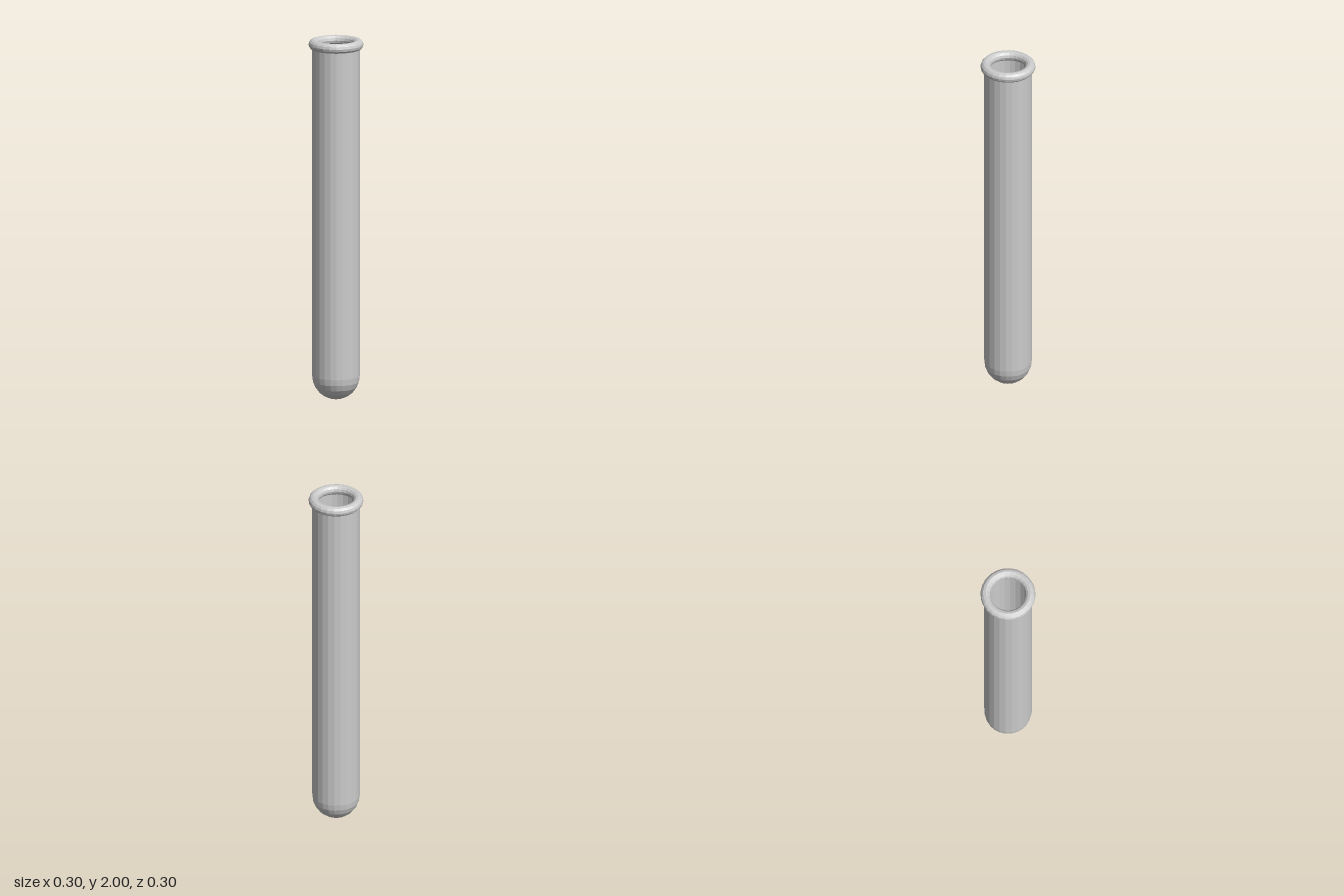
import * as THREE from 'three';

const SIDES = 24;       // facets around the axis
const RINGS = 6;        // facet rows in the rounded bottom
const OUTER = 0.13;     // outer wall radius
const INNER = 0.115;    // inner wall radius
const LIP = 0.0275;     // radius of the rolled rim
const TOP = 2 - LIP;

// quarter circle from the pole up to the straight wall
function bowl(radius) {
  const points = [];
  for (let i = 0; i <= RINGS; i++) {
    const a = (i / RINGS) * Math.PI / 2;
    points.push(new THREE.Vector2(i ? radius * Math.sin(a) : 0, OUTER - radius * Math.cos(a)));
  }
  return points;
}

export function createModel() {
  const group = new THREE.Group();
  group.name = 'testTube';
  const material = new THREE.MeshStandardMaterial({ color: 0xcccccc, flatShading: true });

  // hollow wall: up the outside, over the edge, down the inside
  const profile = [
    ...bowl(OUTER),
    new THREE.Vector2(OUTER, TOP),
    new THREE.Vector2(INNER, TOP),
    ...bowl(INNER).reverse(),
  ];
  const tube = new THREE.Mesh(new THREE.LatheGeometry(profile, SIDES), material);
  tube.name = 'tubeWall';
  group.add(tube);

  // rolled rim around the mouth
  const rim = new THREE.Mesh(
    new THREE.TorusGeometry((OUTER + INNER) / 2, LIP, 12, SIDES).rotateX(Math.PI / 2),
    material
  );
  rim.name = 'rim';
  rim.position.y = TOP;
  group.add(rim);

  return group;
}
